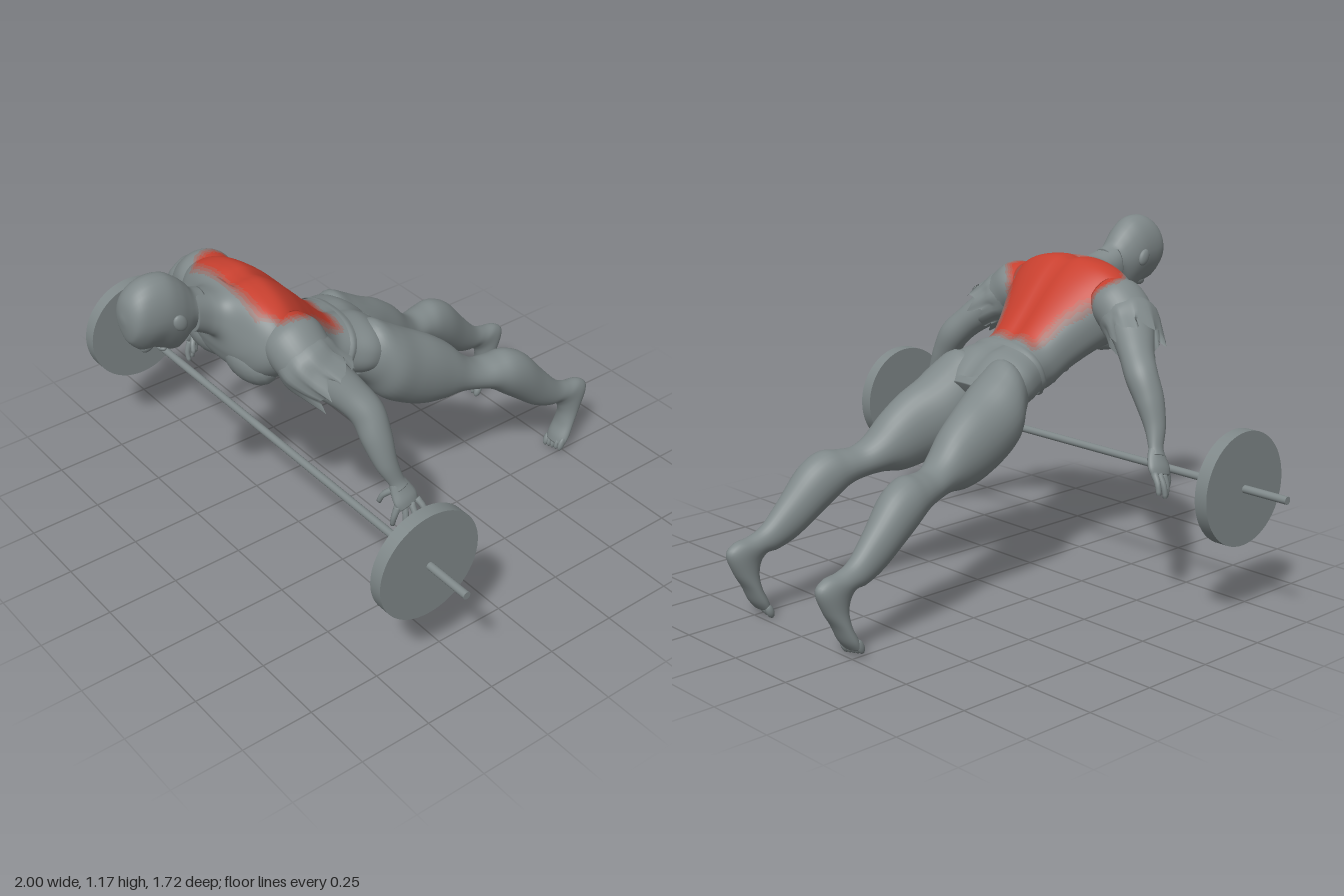
import * as THREE from 'three';

const mat = (name, color, side = THREE.FrontSide) => {
  const m = new THREE.MeshStandardMaterial({ color, side });
  m.name = name;
  return m;
};

// Smooth skin through rings [centre xyz, u xyz, v xyz]; tweak moves vertices, paint picks a material per face
function loft(rings, { segs = 28, sub = 5, power = 1, open = false, tweak, paint } = {}) {
  const n = (rings.length - 1) * sub, pos = [], index = [];
  const spline = (a, b, c, d, t) =>
    0.5 * (2 * b + (c - a) * t + (2 * a - 5 * b + 4 * c - d) * t * t + (3 * b - a - 3 * c + d) * t ** 3);
  const bend = v => Math.sign(v) * Math.abs(v) ** power;
  const ringAt = k => {
    const i = Math.min(Math.floor(k / sub), rings.length - 2), t = k / sub - i;
    const get = j => rings[Math.max(0, Math.min(rings.length - 1, j))];
    return get(i).map((b, c) => spline(get(i - 1)[c], b, get(i + 1)[c], get(i + 2)[c], t));
  };
  for (let k = 0; k <= n; k++) {
    const r = ringAt(k);
    for (let j = 0; j < segs; j++) {
      const a = j / segs * Math.PI * 2, c = bend(Math.cos(a)), s = bend(Math.sin(a));
      const p = new THREE.Vector3(r[0] + r[3] * c + r[6] * s, r[1] + r[4] * c + r[7] * s, r[2] + r[5] * c + r[8] * s);
      if (tweak) tweak(p, k / n, a);
      pos.push(p.x, p.y, p.z);
    }
  }
  for (let k = 0; k < n; k++) for (let j = 0; j < segs; j++) {
    const a = k * segs + j, b = k * segs + (j + 1) % segs;
    index.push(a, a + segs, b, b, a + segs, b + segs);
  }
  if (!open) {
    pos.push(...rings[0].slice(0, 3), ...rings[rings.length - 1].slice(0, 3));
    const c0 = (n + 1) * segs, e = n * segs;
    for (let j = 0; j < segs; j++) {
      const q = (j + 1) % segs;
      index.push(c0, j, q, c0 + 1, e + q, e + j);
    }
  }
  const g = new THREE.BufferGeometry();
  g.setAttribute('position', new THREE.Float32BufferAttribute(pos, 3));
  if (paint) {
    const buckets = [[], [], [], [], []];
    for (let i = 0; i < index.length; i += 3) {
      const f = index.slice(i, i + 3);
      const mid = o => f.reduce((s, v) => s + pos[v * 3 + o], 0) / 3;
      buckets[paint(mid(0), mid(1), mid(2))].push(...f);
    }
    let start = 0;
    buckets.forEach((b, i) => { if (b.length) g.addGroup(start, b.length, i); start += b.length; });
    g.setIndex(buckets.flat());
  } else g.setIndex(index);
  g.computeVertexNormals();
  return g;
}

// Body ring from its back point (z, y), front point (z, y), half width and x centre
const slice = ([tz, ty, bz, by, w, cx = 0]) =>
  [cx, (ty + by) / 2, (tz + bz) / 2, w, 0, 0, 0, (ty - by) / 2, (tz - bz) / 2];

// Rings along a path of [x, y, z, radius, radius along z]
function limb(points, s) {
  const P = points.map(p => new THREE.Vector3(p[0] * s, p[1], p[2]));
  return P.map((p, i) => {
    const t = P[Math.min(i + 1, P.length - 1)].clone().sub(P[Math.max(i - 1, 0)]).normalize();
    const v = new THREE.Vector3(0, 0, 1).addScaledVector(t, -t.z).normalize();
    const u = t.clone().cross(v).multiplyScalar(points[i][3]);
    v.multiplyScalar(points[i][4] ?? points[i][3]);
    return [...p.toArray(), ...u.toArray(), ...v.toArray()];
  });
}

// Colour step (0 skin to 4 red) of the highlighted back muscles
const backEdge = [[0.1, 0.11], [0.18, 0.125], [0.25, 0.15], [0.32, 0.2], [0.38, 0.265], [0.45, 0.25], [0.52, 0.17]];
function backPaint(x, y, z) {
  if (z < 0.13 || z > 0.52) return 0;
  const i = backEdge.findIndex(e => e[0] >= z), [z0, h0] = backEdge[i - 1], [z1, h1] = backEdge[i];
  const half = h0 + (h1 - h0) * (z - z0) / (z1 - z0);
  const d = Math.min(half - Math.abs(x), z - 0.135, 0.515 - z, y - Math.min(0.65 + 0.8 * z, 0.96));
  return Math.max(0, Math.min(4, Math.ceil(d / 0.011)));
}

export function createModel() {
  const grey = mat('grey', 0x7f8889);
  const greyOpen = grey;
  grey.side = THREE.DoubleSide;
  const skin = [grey, mat('faintRed', 0x917672), mat('paleRed', 0xa4645c), mat('softRed', 0xb65245), mat('muscleRed', 0xc8402f)];
  const root = new THREE.Group();
  root.name = 'athleteWithBarbell';
  const add = (name, geo, m = grey, parent = root) => {
    const mesh = new THREE.Mesh(geo, m);
    mesh.name = name;
    parent.add(mesh);
    return mesh;
  };
  const blob = (name, x, y, z, sx, sy, sz, rx = 0) => {
    const b = add(name, new THREE.SphereGeometry(1, 18, 12));
    b.position.set(x, y, z);
    b.scale.set(sx, sy, sz);
    b.rotation.x = rx;
  };

  // Barbell
  const rod = (name, r, len, x, seg) => {
    const m = add(name, new THREE.CylinderGeometry(r, r, len, seg));
    m.rotation.z = Math.PI / 2;
    m.position.set(x, 0.435, 0.37);
  };
  rod('bar', 0.013, 2, 0, 20);
  for (const s of [-1, 1]) rod('weightPlate', 0.187, 0.046, s * 0.81, 56);

  // Head, crown first, down to the neck
  add('head', loft([
    [0.862, 1.07, 0.862, 1.05, 0.01], [0.85, 1.12, 0.855, 1.0, 0.048], [0.82, 1.155, 0.845, 0.975, 0.068],
    [0.775, 1.174, 0.815, 0.945, 0.077], [0.72, 1.17, 0.77, 0.937, 0.08], [0.68, 1.145, 0.73, 0.915, 0.077],
    [0.65, 1.115, 0.69, 0.903, 0.068], [0.625, 1.085, 0.65, 0.94, 0.058], [0.59, 1.07, 0.62, 0.95, 0.055],
  ].map(slice), {
    tweak: p => { if (p.y < 1.03) p.x *= 1 - 1.8 * (1.03 - p.y); },
  }));
  blob('nose', 0, 0.945, 0.785, 0.014, 0.022, 0.026, 0.5);
  blob('lips', 0, 0.922, 0.738, 0.024, 0.012, 0.014);

  // Neck and trunk with a spine furrow
  add('torso', loft([
    [0.63, 1.08, 0.64, 0.945, 0.06], [0.575, 1.06, 0.595, 0.92, 0.07], [0.535, 1.052, 0.57, 0.9, 0.105],
    [0.495, 1.06, 0.56, 0.855, 0.2], [0.45, 1.068, 0.54, 0.805, 0.25], [0.4, 1.062, 0.49, 0.765, 0.26],
    [0.34, 1.02, 0.42, 0.745, 0.235], [0.28, 0.96, 0.36, 0.715, 0.2], [0.22, 0.895, 0.3, 0.68, 0.168],
    [0.16, 0.838, 0.24, 0.64, 0.15], [0.1, 0.815, 0.18, 0.63, 0.16], [0.03, 0.795, 0.1, 0.605, 0.185],
    [-0.03, 0.75, 0.03, 0.585, 0.17], [-0.07, 0.7, 0.0, 0.6, 0.12],
  ].map(slice), {
    segs: 72, sub: 8, power: 0.85, paint: backPaint,
    tweak: (p, t, a) => {
      if (a < Math.PI && p.z < 0.5 && p.z > -0.05) p.y -= 0.014 * Math.exp(-((p.x / 0.028) ** 2));
    },
  }), skin);
  add('waistband', loft([
    [0.115, 0.823, 0.195, 0.63, 0.158], [0.103, 0.82, 0.183, 0.625, 0.165], [0.088, 0.812, 0.168, 0.622, 0.162],
  ].map(slice), { segs: 48, power: 0.85, open: true }));

  for (const s of [-1, 1]) {
    blob('ear', s * 0.084, 1.037, 0.715, 0.012, 0.03, 0.022, 0.5);
    blob('chestMuscle', s * 0.105, 0.83, 0.49, 0.11, 0.085, 0.065, 0.5);
    for (let i = 0; i < 3; i++) // stomach muscles
      blob('stomachMuscle', s * 0.045, 0.705 - i * 0.03, 0.335 - i * 0.062, 0.042, 0.022, 0.032, 0.5);

    // Leg from hip over heel to the ball of the foot
    add('leg', loft([
      [0.06, 0.76, 0.1, 0.61, 0.07, 0.09], [0.01, 0.785, 0.05, 0.56, 0.095, 0.105], [-0.05, 0.75, 0.01, 0.5, 0.115, 0.115],
      [-0.12, 0.705, -0.06, 0.45, 0.112, 0.122], [-0.2, 0.66, -0.14, 0.418, 0.096, 0.138],
      [-0.27, 0.605, -0.22, 0.405, 0.083, 0.148], [-0.33, 0.54, -0.29, 0.412, 0.07, 0.16],
      [-0.38, 0.508, -0.355, 0.405, 0.064, 0.176], [-0.44, 0.507, -0.42, 0.385, 0.069, 0.19],
      [-0.5, 0.51, -0.475, 0.345, 0.074, 0.199], [-0.57, 0.472, -0.535, 0.3, 0.069, 0.206],
      [-0.65, 0.38, -0.61, 0.245, 0.052, 0.215], [-0.72, 0.305, -0.675, 0.218, 0.04, 0.222],
      [-0.775, 0.278, -0.71, 0.215, 0.036, 0.225], [-0.83, 0.268, -0.725, 0.205, 0.036, 0.226],
      [-0.862, 0.235, -0.738, 0.185, 0.036, 0.227], [-0.835, 0.165, -0.747, 0.15, 0.037, 0.227],
      [-0.8, 0.11, -0.742, 0.105, 0.042, 0.228], [-0.775, 0.06, -0.724, 0.065, 0.046, 0.229],
      [-0.752, 0.03, -0.717, 0.04, 0.043, 0.229],
    ].map(r => slice([...r.slice(0, 5), r[5] * s]))));
    for (let i = 0; i < 5; i++)
      blob('toe', s * (0.192 + i * 0.0185), 0.026 + i * 0.004, -0.73, i ? 0.009 : 0.013, 0.026, 0.014, -0.4);

    // Arm, torn sleeve and open hand
    add('arm', loft(limb([
      [0.18, 0.95, 0.42, 0.07, 0.08], [0.23, 0.935, 0.42, 0.09, 0.098], [0.285, 0.895, 0.41, 0.085, 0.095],
      [0.34, 0.85, 0.38, 0.066, 0.075], [0.4, 0.795, 0.335, 0.054, 0.06], [0.45, 0.74, 0.305, 0.053, 0.055],
      [0.49, 0.67, 0.3, 0.046, 0.05], [0.525, 0.59, 0.29, 0.033, 0.037], [0.548, 0.53, 0.27, 0.021, 0.027],
      [0.56, 0.505, 0.262, 0.02, 0.03],
    ], s), { segs: 40, sub: 7, paint: backPaint }), skin);
    add('sleeve', loft(limb([
      [0.26, 0.905, 0.415, 0.085, 0.093], [0.3, 0.885, 0.41, 0.09, 0.1],
      [0.335, 0.86, 0.39, 0.08, 0.094], [0.37, 0.835, 0.365, 0.076, 0.088],
    ], s), {
      segs: 44, open: true,
      tweak: (p, t, a) => {
        const k = t * t * (0.016 * Math.sin(7 * a) + 0.009 * Math.sin(12 * a + 1));
        p.x += s * k;
        p.y -= k * 0.8;
        p.z += t * 0.008 * Math.sin(9 * a);
      },
    }), greyOpen);
    add('palm', loft(limb([
      [0.547, 0.53, 0.27, 0.02, 0.026], [0.56, 0.5, 0.262, 0.02, 0.038],
      [0.577, 0.47, 0.255, 0.018, 0.045], [0.588, 0.45, 0.25, 0.012, 0.038],
    ], s), { segs: 16 }));
    const fingers = [
      [[0.58, 0.46, 0.285], [0.578, 0.42, 0.3], [0.57, 0.385, 0.3]],
      [[0.585, 0.455, 0.265], [0.598, 0.415, 0.27], [0.595, 0.378, 0.272]],
      [[0.588, 0.455, 0.242], [0.61, 0.42, 0.242], [0.615, 0.382, 0.245]],
      [[0.588, 0.46, 0.22], [0.612, 0.435, 0.21], [0.62, 0.4, 0.208]],
      [[0.555, 0.505, 0.28], [0.53, 0.48, 0.305], [0.518, 0.45, 0.312]],
    ];
    fingers.forEach((f, i) => add(i < 4 ? 'finger' : 'thumb',
      loft(limb(f.map((p, k) => [...p, 0.012 - k * 0.002]), s), { segs: 10, sub: 3 })));
  }
  return root;
}
